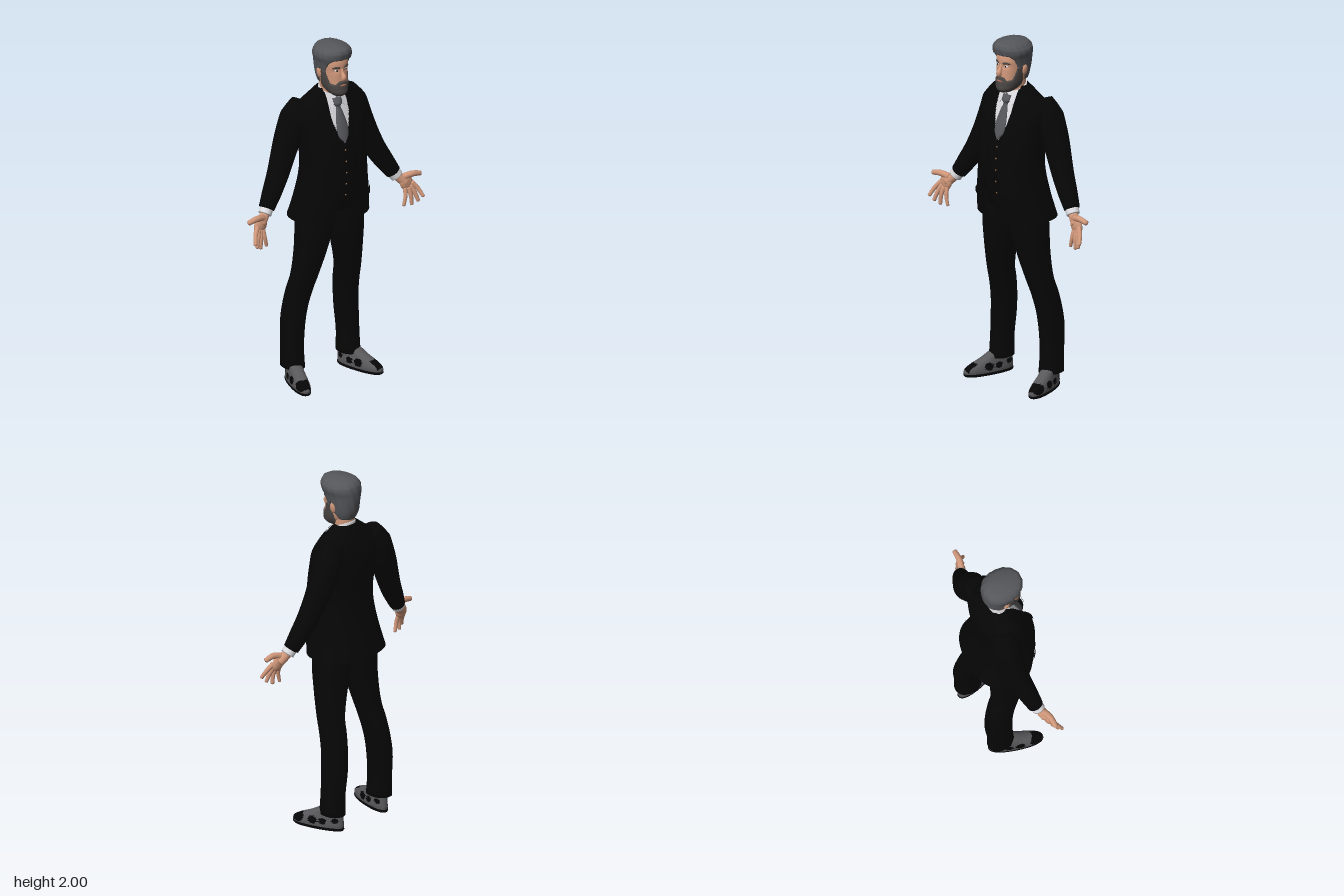
import * as THREE from 'three';
import { mergeVertices } from 'three/addons/utils/BufferGeometryUtils.js';

const mat = (name, color, side = THREE.FrontSide) =>
  Object.assign(new THREE.MeshStandardMaterial({ color, side }), { name });

// Rows are [y, xMin, xMax, zBack, zFront], listed upwards, and are joined smoothly.
function sampler(rows) {
  const curve = new THREE.CubicInterpolant(rows.map(r => r[0]), rows.flatMap(r => r.slice(1)), 4);
  return y => [...curve.evaluate(y)];
}
const sym = rows => rows.map(([y, w, zb, zf]) => [y, -w, w, zb, zf]);

// Piecewise linear lookup
function table(t, pairs) {
  for (let i = 1; i < pairs.length; i++) {
    const [a, va] = pairs[i - 1], [b, vb] = pairs[i];
    if (t <= b) return THREE.MathUtils.mapLinear(Math.max(t, a), a, b, va, vb);
  }
  return pairs[pairs.length - 1][1];
}

function finish(pos, index) {
  let g = new THREE.BufferGeometry();
  g.setAttribute('position', new THREE.Float32BufferAttribute(pos, 3));
  g.setIndex(index);
  g = mergeVertices(g, 1e-5);
  g.computeVertexNormals();
  return g;
}

// Superelliptic loft; an arc function leaves it open, move shifts single points
function loft(rows, { seg = 32, rings = 28, n = 2, from, to, arc, grow = 0, move } = {}) {
  const at = sampler(rows), pos = [], index = [], p = new THREE.Vector3();
  const y0 = from ?? rows[0][0], y1 = to ?? rows[rows.length - 1][0];
  const pw = v => Math.sign(v) * Math.abs(v) ** (2 / n);
  for (let i = 0; i <= rings; i++) {
    const y = y0 + (y1 - y0) * i / rings, [xa, xb, zb, zf] = at(y);
    const rx = (xb - xa) / 2 + grow, rz = (zf - zb) / 2 + grow;
    const [a, b] = arc ? arc(y, rx) : [0, Math.PI * 2];
    for (let j = 0; j <= seg; j++) {
      const th = a + (b - a) * j / seg;
      p.set((xa + xb) / 2 + rx * pw(Math.sin(th)), y, (zb + zf) / 2 + rz * pw(Math.cos(th)));
      if (move) move(p);
      pos.push(p.x, p.y, p.z);
      if (i < rings && j < seg) {
        const k = i * (seg + 1) + j, u = k + seg + 1;
        index.push(k, k + 1, u + 1, k, u + 1, u);
      }
    }
  }
  if (!arc) for (const i of [0, rings]) {
    const s = i * (seg + 1), c = pos.length / 3, mid = [0, 0, 0];
    for (let j = 0; j < seg; j++) for (let k = 0; k < 3; k++) mid[k] += pos[(s + j) * 3 + k] / seg;
    pos.push(...mid);
    for (let j = 0; j < seg; j++) index.push(c, ...(i ? [s + j, s + j + 1] : [s + j + 1, s + j]));
  }
  return finish(pos, index);
}

// Rounded limb along a path with a list of radii
function limb(points, radii, sides = 12, seg = 24, full = 0.88) {
  const path = new THREE.CatmullRomCurve3(points.map(p => new THREE.Vector3(...p)));
  const g = new THREE.TubeGeometry(path, seg, 1, sides), pos = g.attributes.position;
  const v = new THREE.Vector3(), steps = radii.map((r, i) => [i / (radii.length - 1), r]);
  for (let i = 0; i < pos.count; i++) {
    const t = Math.floor(i / (sides + 1)) / seg, c = path.getPointAt(t);
    const e = Math.max(0, (Math.abs(2 * t - 1) - full) / (1 - full));
    const r = table(t, steps) * Math.sqrt(Math.max(0.0004, 1 - e * e));
    v.fromBufferAttribute(pos, i).sub(c).multiplyScalar(r).add(c);
    pos.setXYZ(i, v.x, v.y, v.z);
  }
  return finish([...pos.array], [...g.index.array]);
}

// Sort faces into two material groups by a rule on the face centre
function paint(g, rule) {
  const lists = [[], []], p = g.attributes.position, ix = g.index.array, v = new THREE.Vector3(), c = new THREE.Vector3();
  for (let i = 0; i < ix.length; i += 3) {
    c.set(0, 0, 0);
    for (let k = 0; k < 3; k++) c.addScaledVector(v.fromBufferAttribute(p, ix[i + k]), 1 / 3);
    lists[rule(c) ? 1 : 0].push(ix[i], ix[i + 1], ix[i + 2]);
  }
  g.setIndex([...lists[0], ...lists[1]]);
  g.addGroup(0, lists[0].length, 0);
  g.addGroup(lists[0].length, lists[1].length, 1);
  return g;
}

export function createModel() {
  const model = new THREE.Group();
  const suit = mat('suit black', 0x060607, THREE.DoubleSide), shirt = mat('shirt white', 0xdcdce0, THREE.DoubleSide);
  const tieGrey = mat('tie grey', 0x56575b), hairGrey = mat('hair grey', 0x55565a), beardGrey = mat('beard grey', 0x4b4745);
  const skin = mat('skin', 0xd0977a), lip = mat('lip', 0xa8695a), leather = mat('shoe grey', 0x58585b), bronze = mat('button bronze', 0x8a6444);
  const add = (name, g, m, parent = model) => {
    const mesh = new THREE.Mesh(g, m);
    mesh.name = name;
    parent.add(mesh);
    return mesh;
  };
  const ball = (name, m, x, y, z, sx, sy, sz) => {
    const b = add(name, new THREE.SphereGeometry(1, 20, 14), m);
    b.position.set(x, y, z);
    b.scale.set(sx, sy, sz);
    return b;
  };

  // Waistcoat with the shirt showing in its V
  const vestRows = sym([[1.04, .17, -.1, .125], [1.13, .165, -.11, .145], [1.34, .165, -.11, .15], [1.5, .175, -.12, .122],
    [1.6, .17, -.115, .088], [1.67, .12, -.09, .06], [1.715, .065, -.06, .035]]);
  const vestZ = y => sampler(vestRows)(y)[3];
  const shirtWidth = y => table(y, [[1.435, 0], [1.53, .045], [1.6, .068], [1.72, .075]]);
  add('waistcoat and shirt', paint(loft(vestRows, { seg: 128, rings: 90 }),
    c => c.y > 1.435 && c.z > -.03 && Math.abs(c.x) < shirtWidth(c.y)), [suit, shirt]);
  for (let i = 0; i < 5; i++) ball('waistcoat button', bronze, 0, 1.4 - i * .066, vestZ(1.4 - i * .066), .005, .005, .005);

  // Tie
  const tieRows = [[1.442, .003], [1.475, .03], [1.53, .036], [1.6, .024], [1.64, .017], [1.65, .025], [1.685, .03]];
  add('tie', loft(sym(tieRows.map(([y, w]) => [y, w, vestZ(y) - .015, vestZ(y) + (y > 1.645 ? .022 : .012)])), { rings: 40 }), tieGrey);

  // Open jacket with lapels and pockets
  const jacketRows = sym([[.985, .233, -.19, .155], [1.1, .21, -.16, .178], [1.25, .188, -.13, .185], [1.34, .186, -.125, .183], [1.5, .203, -.14, .148],
    [1.6, .215, -.133, .108], [1.65, .19, -.115, .08], [1.69, .13, -.095, .058], [1.735, .07, -.066, .03]]);
  const n = 2.4, angle = (x, rx) => Math.asin(Math.min(1, x / rx) ** (n / 2));
  const gap = y => table(y, [[.985, .085], [1.25, .055], [1.4, .05], [1.6, .073], [1.735, .06]]);
  add('jacket', loft(jacketRows, { seg: 72, rings: 48, n, arc: (y, rx) => [angle(gap(y), rx), Math.PI * 2 - angle(gap(y), rx)] }), suit);
  const panel = (name, s, from, to, inner, outer, grow) => add(name, loft(jacketRows, { seg: 10, rings: 20, n, from, to, grow,
    arc: (y, rx) => s > 0 ? [angle(inner(y), rx), angle(outer(y), rx)] : [-angle(outer(y), rx), -angle(inner(y), rx)] }), suit);

  const sideOf = { 1: 'left ', [-1]: 'right ' };
  for (const s of [1, -1]) {
    const side = sideOf[s], mir = pts => pts.map(([x, y, z]) => [s * x, y, z]);
    panel(side + 'lapel', s, 1.34, 1.72, gap, y => gap(y) + table(y, [[1.34, .004], [1.58, .062], [1.6, .045], [1.72, .015]]), .007);
    panel(side + 'pocket flap', s, 1.1, 1.145, () => .11, () => .18, .006);

    // Sleeve, cuff and hand
    add(side + 'sleeve', limb(mir([[.14, 1.665, -.055], [.18, 1.595, -.06], [.247, 1.445, -.06], [.33, 1.265, -.035], [.432, 1.1, 0]]),
      [.055, .084, .077, .068, .061, .054, .042], 24, 44, .95), suit);
    add(side + 'cuff', limb(mir([[.412, 1.13, -.004], [.43, 1.105, .002], [.446, 1.082, .008]]), [.036, .037, .037], 20, 12, .9), shirt);
    add(side + 'wrist', limb(mir([[.425, 1.11, 0], [.455, 1.075, .014], [.49, 1.04, .03]]), [.026, .027, .028], 16), skin);
    const palm = ball(side + 'palm', skin, s * .49, 1.042, .032, .04, .05, .02);
    palm.rotation.z = s * .45;
    const fingers = {
      thumb: [[[.465, 1.075, .025], [.52, 1.088, .04], [.583, 1.078, .042]], .017],
      index: [[[.515, 1.045, .04], [.545, 1.005, .062], [.566, .955, .09]], .0125],
      middle: [[[.507, 1.03, .04], [.528, .98, .06], [.543, .928, .074]], .0125],
      ring: [[[.495, 1.02, .04], [.504, .97, .055], [.508, .911, .058]], .012],
      little: [[[.478, 1.02, .035], [.473, .97, .048], [.46, .912, .048]], .011]
    };
    for (const [f, [pts, r]] of Object.entries(fingers)) add(side + f + ' finger', limb(mir(pts), [r * 1.15, r, r * .8], 12, 20), skin);

    // Trouser leg
    const leg = [[.09, .127, .246, -.165, -.012], [.2, .13, .243, -.165, -.02], [.35, .12, .238, -.176, -.018], [.45, .108, .23, -.167, -.008],
      [.56, .09, .221, -.142, .018], [.62, .08, .215, -.122, .038], [.8, .037, .203, -.112, .085], [.93, .003, .202, -.115, .104], [1.1, -.02, .185, -.115, .105]];
    add(side + 'trouser leg', loft(leg.map(([y, a, b, zb, zf]) => [y, ...(s > 0 ? [a, b] : [-b, -a]), zb, zf]), { rings: 40, n: 2.2 }), suit);

    // Shoe with dark patches and sole
    const shoe = new THREE.Group();
    shoe.name = side + 'shoe';
    shoe.position.set(s * .187, 0, -.088);
    shoe.rotation.y = s * .28;
    model.add(shoe);
    const blobs = [[.195, .05, .03], [.1, .05, .022], [.04, .05, .018], [-.03, .06, .015]];
    add('shoe upper', paint(loft(sym([[.012, .044, -.066, .232], [.03, .046, -.068, .235], [.045, .045, -.067, .226], [.065, .042, -.066, .19],
      [.085, .04, -.064, .14], [.11, .038, -.062, .09], [.125, .034, -.058, .06]]), { seg: 72, rings: 32, n: 2.3 }),
      c => blobs.some(([z, y, r]) => Math.hypot((c.z - z) * .8, c.y - y) < r && (z > .15 ? c.x * s > -.025 : Math.abs(c.x) > .02))), [leather, suit], shoe);
    add('shoe sole', loft(sym([[0, .043, -.066, .226], [.008, .047, -.07, .236], [.016, .046, -.069, .236]]), { seg: 40, rings: 4, n: 2.3 }), suit, shoe);

    // Ears, eyes, brows and collar wings
    const ear = ball(side + 'ear', skin, s * .08, 1.832, .008, .009, .03, .018);
    ear.rotation.z = -s * .15;
    ball(side + 'eye', shirt, s * .03, 1.862, .1, .012, .0065, .008);
    ball(side + 'iris', suit, s * .03, 1.862, .106, .005, .005, .0035);
    add(side + 'eyebrow', limb(mir([[.013, 1.877, .113], [.032, 1.883, .108], [.053, 1.876, .092]]), [.0055, .006, .004], 8, 12), beardGrey);
    const wing = new THREE.Shape(mir([[.004, 1.695, 0], [.058, 1.72, 0], [.066, 1.655, 0], [.044, 1.63, 0]]).map(([x, y]) => new THREE.Vector2(x, y)));
    const wingGeo = new THREE.ExtrudeGeometry(wing, { depth: .006, bevelEnabled: false });
    const wp = wingGeo.attributes.position;
    for (let i = 0; i < wp.count; i++) wp.setZ(i, wp.getZ(i) + vestZ(wp.getY(i)) + .012 - Math.abs(wp.getX(i)) * .32);
    wingGeo.computeVertexNormals();
    add(side + 'collar wing', wingGeo, shirt);
  }

  // Breast pocket
  const welt = add('breast pocket square', new THREE.BoxGeometry(.036, .008, .008), tieGrey);
  welt.position.set(.145, 1.535, .098);
  welt.rotation.set(-.3, .55, .1);

  // Neck and collar band
  add('neck', loft(sym([[1.64, .056, -.058, .048], [1.72, .054, -.06, .05], [1.82, .056, -.065, .055]]), { rings: 10 }), skin);
  add('collar', loft(sym([[1.68, .07, -.07, .058], [1.715, .064, -.066, .056], [1.752, .06, -.065, .054]]), { seg: 40, rings: 8,
    move: p => { p.y -= (p.z + .065) * .42; } }), shirt);

  // Head
  const headRows = sym([[1.715, .03, .02, .108], [1.73, .046, -.005, .12], [1.76, .061, -.045, .121], [1.8, .07, -.068, .117], [1.85, .076, -.08, .114],
    [1.9, .079, -.085, .114], [1.94, .074, -.08, .1], [1.97, .052, -.058, .072], [1.985, .02, -.015, .03]]);
  const dent = p => { // eye sockets
    const d = Math.exp(-(((Math.abs(p.x) - .03) / .016) ** 2) - ((p.y - 1.862) / .013) ** 2);
    if (p.z > .04) p.z -= .007 * d;
  };
  add('head', loft(headRows, { seg: 56, rings: 44, n: 2.2, move: dent }), skin);
  add('nose', limb([[0, 1.873, .108], [0, 1.845, .118], [0, 1.822, .13], [0, 1.811, .118]], [.007, .009, .014, .015], 14, 20), skin);
  const theta = p => Math.abs(Math.atan2(p.x, p.z - .02));
  const radial = (p, k) => { p.x *= k; p.z = .02 + (p.z - .02) * k; };

  // Beard: a shell that sinks under the skin outside its outline
  const beardTop = [[0, 1.806], [.25, 1.803], [.42, 1.785], [.75, 1.79], [.95, 1.825], [1.1, 1.86], [1.5, 1.86], [1.65, 1.8], [1.9, 1.7]];
  add('beard', loft(headRows, { seg: 96, rings: 60, n: 2.2, to: 1.88, move: p => {
    const m = 1 - THREE.MathUtils.smoothstep(p.y, table(theta(p), beardTop) - .006, table(theta(p), beardTop) + .004);
    radial(p, .92 + .15 * m);
    p.y -= .005 * m;
  } }), beardGrey);
  add('mouth', limb([[-.022, 1.776, .122], [0, 1.779, .129], [.022, 1.776, .122]], [.003, .0055, .003], 10, 14), lip);

  // Swept-back hair with strand ridges
  const hairline = [[0, 1.922], [.55, 1.922], [.85, 1.9], [1.08, 1.85], [1.42, 1.845], [1.6, 1.865], [1.85, 1.8], [2.2, 1.765], [3.15, 1.758]];
  add('hair', loft(sym([[1.75, .062, -.06, .09], [1.8, .075, -.081, .092], [1.85, .082, -.091, .1], [1.9, .09, -.095, .12], [1.94, .1, -.094, .132],
    [1.97, .09, -.083, .133], [1.99, .064, -.055, .112], [2, .022, -.01, .06]]), { seg: 112, rings: 64, n: 2.15, move: p => {
    const h = table(theta(p), hairline), m = THREE.MathUtils.smoothstep(p.y, h - .006, h + .006);
    const ridge = .013 * Math.sin(Math.atan2(p.x, p.z - .02) * 15 + (p.y - 1.85) * 45);
    radial(p, .8 + m * (.2 + ridge));
    if (p.y > 1.96) p.y -= .06 * Math.max(0, p.x - .02); // side parting
  } }), hairGrey);

  return model;
}
